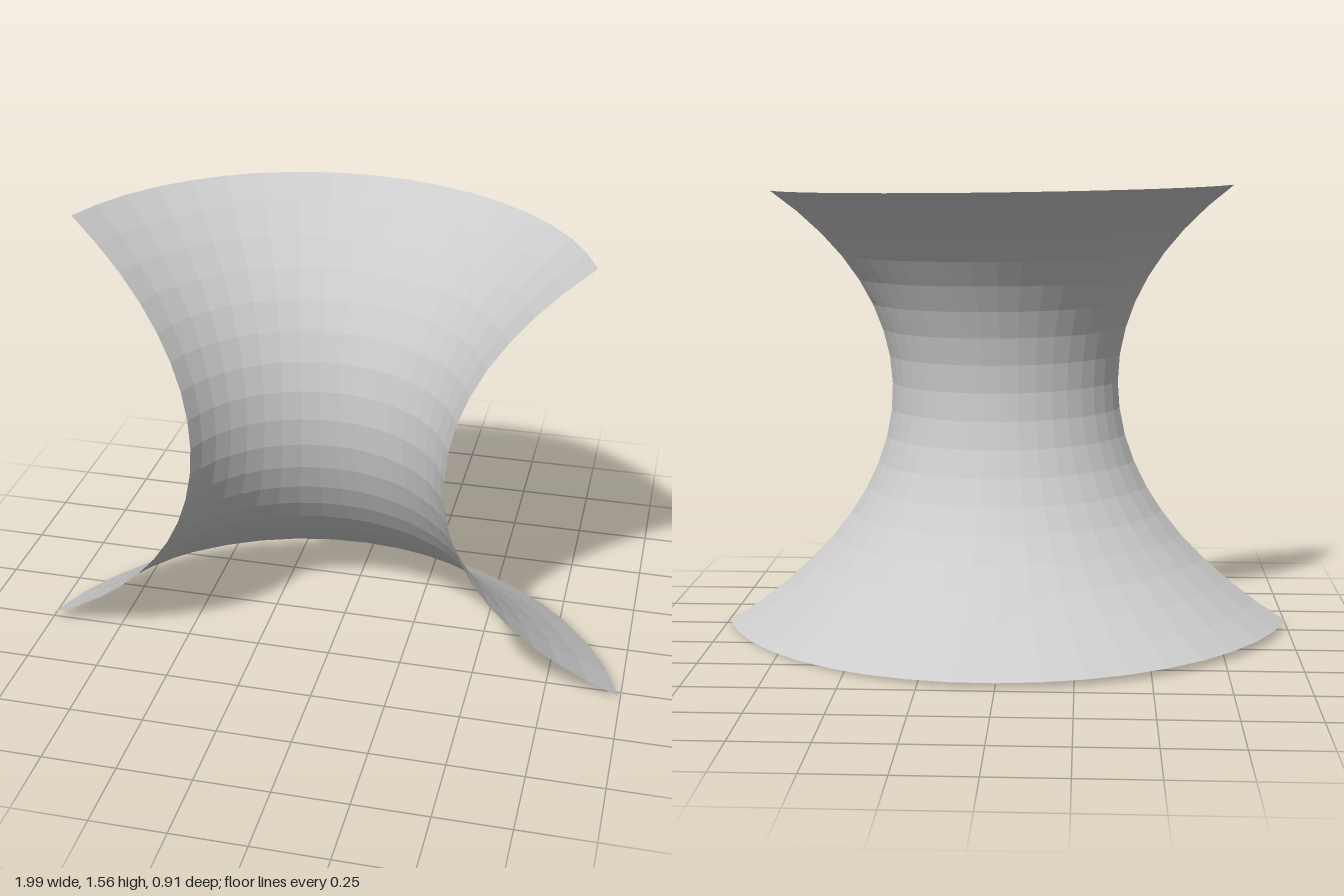
import * as THREE from 'three';

export function createModel() {
  const group = new THREE.Group();

  // Flared profile: radius follows a hyperbolic cosine around the waist
  const waistRadius = 0.425, curve = 0.538, waist = 0.83, height = 1.535;
  const rows = 18, stretch = 0.85;
  const t0 = Math.sinh(-waist / stretch);
  const t1 = Math.sinh((height - waist) / stretch);
  const profile = [];
  for (let i = 0; i <= rows; i++) {
    // Rows grow closer together toward the flared rims
    const h = stretch * Math.asinh(t0 + (t1 - t0) * i / rows);
    profile.push(new THREE.Vector2(waistRadius * Math.cosh(h / curve), waist + h));
  }

  // Open sweep, bulging toward the back
  const halfSweep = THREE.MathUtils.degToRad(72.8);
  const geometry = new THREE.LatheGeometry(profile, 18, Math.PI - halfSweep, 2 * halfSweep);
  const material = new THREE.MeshStandardMaterial({
    color: 0xcccccc, flatShading: true, side: THREE.DoubleSide,
  });
  const shell = new THREE.Mesh(geometry, material);
  shell.name = 'flaredShell';
  shell.position.set(0, 0.015, 0.578);
  shell.rotation.z = -0.014; // slight sideways lean
  group.add(shell);
  return group;
}
